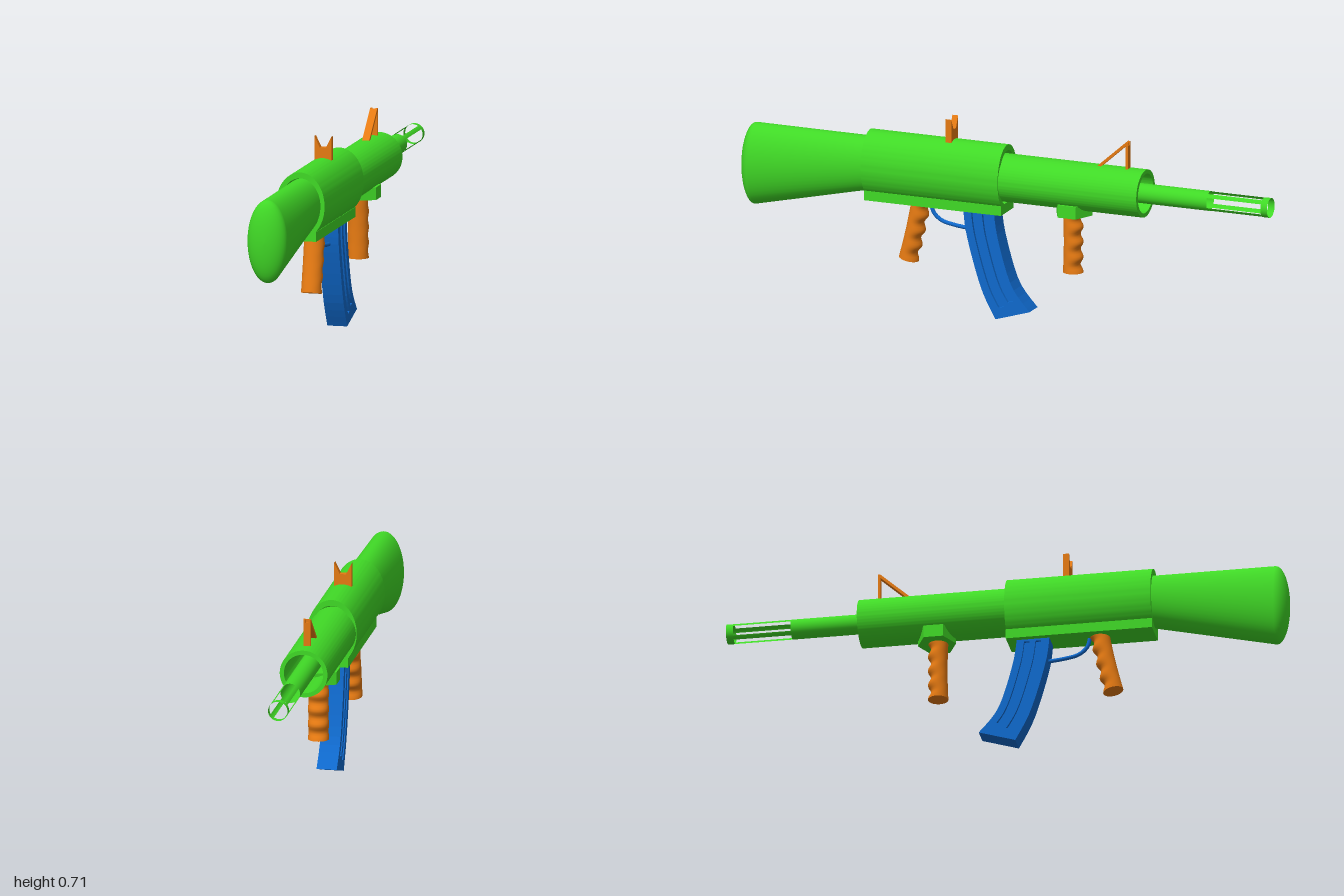
import * as THREE from 'three';
import { toCreasedNormals } from 'three/addons/utils/BufferGeometryUtils.js';

const V2 = (p) => new THREE.Vector2(p[0], p[1]);

export function createModel() {
  const model = new THREE.Group();
  model.name = 'toyRifle';
  const material = (name, color) => {
    const m = new THREE.MeshStandardMaterial({ color, side: THREE.DoubleSide });
    m.name = name;
    return m;
  };
  const green = material('green', 0x40d926);
  const orange = material('orange', 0xe67a12);
  const blue = material('blue', 0x0f69cc);

  const add = (name, geometry, mat, x = 0, y = 0, z = 0) => {
    const mesh = new THREE.Mesh(geometry, mat);
    mesh.name = name;
    mesh.position.set(x, y, z);
    model.add(mesh);
    return mesh;
  };

  // Closed skin over elliptical rings [z, centreY, rx, ry] running along +z
  function loft(rings, n = 40) {
    const pos = [], index = [];
    const ring = ([z, cy, rx, ry]) => {
      for (let j = 0; j < n; j++) {
        const a = (j / n) * Math.PI * 2;
        pos.push(rx * Math.cos(a), cy + ry * Math.sin(a), z);
      }
    };
    rings.forEach(ring);
    for (let i = 0; i < rings.length - 1; i++) {
      for (let j = 0; j < n; j++) {
        const a = i * n + j, b = i * n + ((j + 1) % n);
        index.push(a, b, b + n, a, b + n, a + n);
      }
    }
    [rings[0], rings[rings.length - 1]].forEach((r, k) => {
      const start = pos.length / 3;
      ring(r);
      pos.push(0, r[1], r[0]);
      for (let j = 0; j < n; j++) {
        const a = start + j, b = start + ((j + 1) % n);
        index.push(start + n, k ? a : b, k ? b : a);
      }
    });
    const g = new THREE.BufferGeometry();
    g.setAttribute('position', new THREE.Float32BufferAttribute(pos, 3));
    g.setIndex(index);
    g.computeVertexNormals();
    return g;
  }

  // Hollow elliptical sleeve along z
  function sleeve(rx, ry, innerX, innerY, length) {
    const shape = new THREE.Shape().absellipse(0, 0, rx, ry, 0, Math.PI * 2);
    shape.holes.push(new THREE.Path().absellipse(0, 0, innerX, innerY, 0, Math.PI * 2));
    const g = new THREE.ExtrudeGeometry(shape, { depth: length, bevelEnabled: false, curveSegments: 48 });
    return toCreasedNormals(g, 0.6);
  }

  // Side profile given as [z, y] points, extruded across x
  function sidePlate(points, width, holes = []) {
    const shape = new THREE.Shape(points.map(V2));
    holes.forEach((h) => shape.holes.push(new THREE.Path(h.map(V2))));
    const g = new THREE.ExtrudeGeometry(shape, { depth: width, bevelEnabled: false });
    return g.translate(0, 0, -width / 2).rotateY(-Math.PI / 2);
  }

  // Stock with a domed butt
  const stock = [[0.5, 0.507, 0.072, 0.097], [0.52, 0.507, 0.072, 0.097]];
  for (let i = 0; i <= 10; i++) {
    const t = (i / 10) * 1.55;
    stock.push([0.953 + 0.047 * Math.sin(t), 0.458, 0.072 * Math.cos(t), 0.148 * Math.cos(t)]);
  }
  add('stock', loft(stock, 48), green);

  // Receiver, its base rail and the fore sleeve
  add('receiver', sleeve(0.088, 0.118, 0.073, 0.097, 0.52), green, 0, 0.511, 0);
  add('receiverBase', new THREE.BoxGeometry(0.115, 0.035, 0.52), green, 0, 0.4025, 0.26);
  add('foreSleeve', sleeve(0.085, 0.085, 0.07, 0.07, 0.56), green, 0, 0.51, -0.525);

  // Barrel, four thin muzzle strips and the muzzle ring
  const tube = (z0, z1, start = 0, arc = Math.PI * 2, n = 40) =>
    new THREE.CylinderGeometry(0.035, 0.035, z1 - z0, n, 1, true, start, arc)
      .rotateX(Math.PI / 2).translate(0, 0, (z0 + z1) / 2);
  add('barrel', tube(-0.77, 0.1), green, 0, 0.51, 0);
  add('muzzleRing', tube(-1, -0.975), green, 0, 0.51, 0);
  for (let i = 0; i < 4; i++) {
    add('muzzleStrip', tube(-0.975, -0.77, Math.PI / 4 + (i * Math.PI) / 2 - 0.24, 0.48, 4), green, 0, 0.51, 0);
  }

  // Hexagonal mount under the fore sleeve
  const hex = new THREE.CylinderGeometry(0.068, 0.068, 0.045, 6).toNonIndexed();
  hex.scale(0.072 / 0.059, 1, 1);
  hex.computeVertexNormals();
  add('foreGripMount', hex, green, 0, 0.43, -0.255);

  // Grips with finger waves on the muzzle side
  function grip(length) {
    const rings = [];
    for (let i = 0; i <= 28; i++) {
      const t = i / 28;
      const wave = 0.006 * Math.cos(t * Math.PI * 8);
      const back = 0.035 - 0.003 * Math.sin(t * Math.PI);
      const front = -0.031 - wave;
      rings.push([t * length, (back + front) / 2, 0.036 + wave * 0.15, (back - front) / 2]);
    }
    return loft(rings, 32).rotateX(Math.PI / 2);
  }
  add('foreGrip', grip(0.22), orange, 0, 0.415, -0.25);
  add('rearGrip', grip(0.23), orange, 0, 0.4, 0.323).rotation.x = -0.22;

  // Curved magazine: position across (u) and down (v) between its two edges
  const curve = (pts) => new THREE.SplineCurve(pts.map(V2));
  const rearEdge = curve([[0.152, 0.39], [0.138, 0.29], [0.085, 0.11], [0.03, 0]]);
  const frontEdge = curve([[0.036, 0.39], [0.02, 0.29], [-0.03, 0.13], [-0.1, 0.04]]);
  const at = (u, v) => rearEdge.getPoint(v).lerp(frontEdge.getPoint(v), u).toArray();
  const band = (u0, u1, v0, v1) => {
    const pts = [];
    for (let i = 0; i <= 14; i++) pts.push(at(u0, v0 + ((v1 - v0) * i) / 14));
    for (let i = 14; i >= 0; i--) pts.push(at(u1, v0 + ((v1 - v0) * i) / 14));
    return pts;
  };
  add('magazineCore', sidePlate(band(0, 1, 0, 1), 0.052), blue);
  const slots = [band(0.25, 0.42, 0.07, 0.86), band(0.6, 0.77, 0.07, 0.82)];
  for (const s of [-1, 1]) {
    add('magazineSide', sidePlate(band(0, 1, 0, 1), 0.01, slots), blue, s * 0.031, 0, 0);
  }

  // Trigger guard
  const guard = new THREE.CatmullRomCurve3(
    [[0.395, 0.29], [0.355, 0.28], [0.328, 0.25], [0.316, 0.2], [0.308, 0.12]]
      .map(([y, z]) => new THREE.Vector3(0, y, z)));
  add('triggerGuard', new THREE.TubeGeometry(guard, 24, 0.007, 10), blue);

  // Rear sight with a V notch
  const frontPlate = (pts, depth) =>
    new THREE.ExtrudeGeometry(new THREE.Shape(pts.map(V2)), { depth, bevelEnabled: false });
  add('rearSight', frontPlate([[-0.031, 0.61], [0.031, 0.61], [0.031, 0.706], [0.011, 0.666],
    [-0.011, 0.666], [-0.031, 0.706]], 0.022), orange, 0, 0, 0.199);

  // Front sight: notched post and sloping brace
  add('frontSightPost', frontPlate([[-0.013, 0.58], [0.013, 0.58], [0.013, 0.691], [0.006, 0.691],
    [0.006, 0.678], [-0.006, 0.678], [-0.006, 0.691], [-0.013, 0.691]], 0.009), orange, 0, 0, -0.463);
  add('frontSightBrace', sidePlate([[-0.357, 0.59], [-0.342, 0.59], [-0.454, 0.69], [-0.454, 0.677]], 0.026), orange);

  return model;
}
